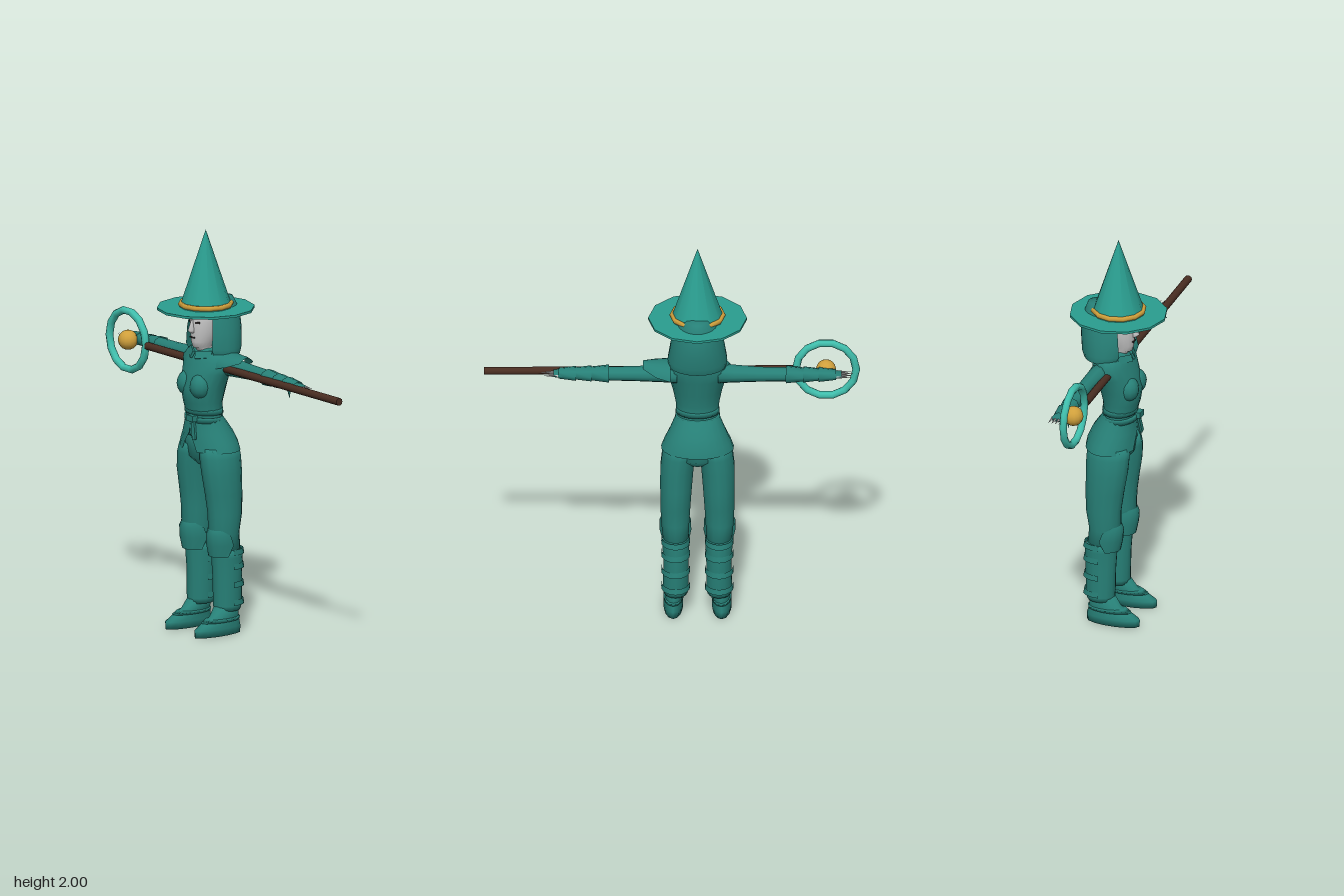
import * as THREE from 'three';
import { mergeVertices } from 'three/addons/utils/BufferGeometryUtils.js';

const mat = (name, color, side = THREE.FrontSide) => {
  const m = new THREE.MeshStandardMaterial({ color, side });
  m.name = name;
  return m;
};

// Smooth skin over elliptical rings [y, xc, zc, rx, rz, halfArc], listed bottom up.
// mid is the direction of the arc's middle: 0 = front, PI = back.
function loft(rings, { n = 14, mid = 0, cap = true } = {}) {
  const rows = rings.slice();
  if (cap) {
    const flat = (r) => [r[0], r[1], r[2], 0, 0];
    rows.unshift(flat(rings[0]));
    rows.push(flat(rings[rings.length - 1]));
  }
  const pos = [], idx = [];
  for (const [y, xc, zc, rx, rz, half = Math.PI] of rows)
    for (let j = 0; j <= n; j++) {
      const a = mid + half * ((2 * j) / n - 1);
      pos.push(xc + rx * Math.sin(a), y, zc + rz * Math.cos(a));
    }
  for (let i = 0; i < rows.length - 1; i++)
    for (let j = 0; j < n; j++) {
      const a = i * (n + 1) + j, b = a + n + 1;
      idx.push(a, a + 1, b + 1, a, b + 1, b);
    }
  let g = new THREE.BufferGeometry();
  g.setAttribute('position', new THREE.Float32BufferAttribute(pos, 3));
  g.setIndex(idx);
  g = mergeVertices(g, 1e-5);
  g.computeVertexNormals();
  return g;
}

export function createModel() {
  const cloth = mat('teal cloth', 0x278077, THREE.DoubleSide);
  const hatTeal = mat('hat teal', 0x2a9d8f);
  const ringTeal = mat('bright teal', 0x40bfad);
  const gold = mat('gold', 0xd0a03c);
  const wood = mat('dark wood', 0x4a2e22);
  const skin = mat('pale grey skin', 0xc4c4c4);
  const ink = mat('dark features', 0x2a2626);

  const model = new THREE.Group();
  const body = new THREE.Group();
  body.name = 'figure';
  body.position.x = -0.125;
  model.add(body);
  const add = (parent, name, geo, material, x = 0, y = 0, z = 0) => {
    const m = new THREE.Mesh(geo, material);
    m.name = name;
    m.position.set(x, y, z);
    parent.add(m);
    return m;
  };

  // Hat
  add(body, 'hatCone', new THREE.ConeGeometry(0.131, 0.39, 12), hatTeal, 0, 1.805, 0);
  add(body, 'hatBrim', new THREE.CylinderGeometry(0.24, 0.24, 0.012, 12), hatTeal, 0, 1.61, 0);
  add(body, 'hatBand', new THREE.TorusGeometry(0.124, 0.013, 6, 12), gold, 0, 1.631, 0).rotation.x = Math.PI / 2;

  // Hood, open at the front
  add(body, 'hood', loft([
    [1.385, 0, -0.055, 0.14, 0.112, 2.35],
    [1.42, 0, -0.05, 0.146, 0.13, 2.35],
    [1.5, 0, -0.05, 0.132, 0.137, 2.25],
    [1.57, 0, -0.05, 0.115, 0.134, 2.2],
    [1.62, 0, -0.05, 0.097, 0.118, 2.2],
    [1.655, 0, -0.075, 0.055, 0.08, 2.6],
    [1.665, 0, -0.085, 0, 0, 2.6],
  ], { n: 16, mid: Math.PI, cap: false }), cloth);

  // Head and face
  add(body, 'head', loft([
    [1.36, 0, -0.02, 0.045, 0.045],
    [1.415, 0, 0, 0.04, 0.055],
    [1.42, 0, 0.022, 0.034, 0.05],
    [1.45, 0, 0.012, 0.05, 0.068],
    [1.5, 0, 0.004, 0.061, 0.08],
    [1.55, 0, 0, 0.065, 0.084],
    [1.61, 0, -0.005, 0.062, 0.078],
  ], { n: 18 }), skin);
  add(body, 'nose', loft([
    [1.495, 0, 0.08, 0.013, 0.014],
    [1.51, 0, 0.082, 0.013, 0.028],
    [1.56, 0, 0.078, 0.006, 0.01],
  ], { n: 8 }), skin);
  add(body, 'mouth', new THREE.BoxGeometry(0.034, 0.006, 0.008), ink, 0, 1.472, 0.081);
  for (const s of [-1, 1]) {
    const eye = add(body, 'eye', new THREE.BoxGeometry(0.024, 0.009, 0.008), ink, s * 0.03, 1.548, 0.073);
    eye.rotation.y = s * 0.5;
    const brow = add(body, 'eyebrow', new THREE.BoxGeometry(0.032, 0.006, 0.008), ink, s * 0.031, 1.572, 0.07);
    brow.rotation.set(0, s * 0.5, s * 0.12);
  }

  // Torso
  add(body, 'tunic', loft([
    [0.98, 0, -0.01, 0.115, 0.095],
    [1.08, 0, 0.01, 0.102, 0.078],
    [1.15, 0, 0.018, 0.108, 0.09],
    [1.22, 0, 0.015, 0.122, 0.104],
    [1.3, 0, -0.004, 0.143, 0.1],
    [1.355, 0, -0.022, 0.17, 0.095],
    [1.395, 0, -0.03, 0.138, 0.085],
    [1.415, 0, -0.02, 0.065, 0.055],
  ], { n: 18 }), cloth);
  for (const s of [-1, 1]) {
    add(body, 'bust', new THREE.SphereGeometry(0.055, 12, 8), cloth, s * 0.052, 1.235, 0.072).scale.set(1, 1.15, 0.95);
    // Collar flaps meeting under the chin
    const flap = add(body, 'collarFlap', new THREE.BoxGeometry(0.09, 0.035, 0.012), cloth, s * 0.05, 1.388, 0.05);
    flap.rotation.set(-0.5, s * 0.4, s * 0.35);
  }

  // Belt with a knot and hanging ends
  [1.065, 1.105].forEach((y, i) => add(body, 'beltStrap', loft([
    [y - 0.013, 0, 0.01, 0.111 - i * 0.003, 0.086],
    [y + 0.013, 0, 0.012, 0.109 - i * 0.003, 0.085],
  ], { n: 18 }), cloth));
  add(body, 'beltKnot', new THREE.BoxGeometry(0.05, 0.03, 0.03), cloth, 0.02, 1.075, 0.1);
  add(body, 'beltEnd', new THREE.BoxGeometry(0.025, 0.1, 0.01), cloth, 0.035, 1.02, 0.1).rotation.set(-0.1, 0, 0.25);

  // Flared tunic skirt with a split front
  add(body, 'skirt', loft([
    [0.91, 0, -0.025, 0.178, 0.13, 2.82],
    [0.95, 0, -0.022, 0.163, 0.125, 2.92],
    [1.0, 0, -0.013, 0.138, 0.112, 3.13],
    [1.045, 0, 0, 0.118, 0.094, Math.PI],
    [1.075, 0, 0.01, 0.105, 0.082, Math.PI],
  ], { n: 20, mid: Math.PI, cap: false }), cloth);
  add(body, 'hips', loft([
    [0.83, 0, -0.025, 0.05, 0.06],
    [0.87, 0, -0.025, 0.14, 0.1],
    [0.94, 0, -0.02, 0.148, 0.105],
    [1.0, 0, -0.015, 0.12, 0.095],
  ]), cloth);

  // Legs
  for (const s of [-1, 1]) {
    const leg = new THREE.Group();
    leg.name = s > 0 ? 'leftLeg' : 'rightLeg';
    body.add(leg);
    add(leg, 'trouserLeg', loft([
      [0.4, s * 0.105, -0.045, 0.062, 0.075],
      [0.5, s * 0.108, -0.028, 0.07, 0.08],
      [0.6, s * 0.107, -0.036, 0.075, 0.09],
      [0.7, s * 0.104, -0.03, 0.079, 0.098],
      [0.8, s * 0.1, -0.022, 0.083, 0.107],
      [0.88, s * 0.09, -0.02, 0.084, 0.11],
      [0.93, s * 0.08, -0.02, 0.08, 0.105],
    ]), cloth);
    add(leg, 'shinGuard', loft([
      [0.115, s * 0.106, -0.05, 0.058, 0.068],
      [0.14, s * 0.106, -0.052, 0.064, 0.074],
      [0.28, s * 0.104, -0.052, 0.062, 0.077],
      [0.38, s * 0.105, -0.05, 0.067, 0.082],
      [0.42, s * 0.105, -0.045, 0.066, 0.078],
    ]), cloth);
    add(leg, 'kneePad', loft([
      [0.39, s * 0.106, -0.035, 0.07, 0.085, 1.25],
      [0.45, s * 0.107, -0.03, 0.077, 0.093, 1.6],
      [0.5, s * 0.108, -0.025, 0.077, 0.09, 1.45],
      [0.525, s * 0.108, -0.025, 0.072, 0.078, 0.9],
    ], { n: 8, cap: false }), cloth);
    for (const y of [0.41, 0.34, 0.25, 0.16])
      add(leg, 'calfStrap', loft([
        [y - 0.016, s * 0.106, -0.052, 0.071, 0.088, 1.7],
        [y + 0.012, s * 0.106, -0.052, 0.068, 0.082, 1.7],
      ], { n: 8, mid: Math.PI, cap: false }), cloth);
    add(leg, 'boot', loft([
      [0, s * 0.118, 0.018, 0.047, 0.136],
      [0.035, s * 0.118, 0.018, 0.049, 0.138],
      [0.062, s * 0.117, 0, 0.046, 0.112],
      [0.09, s * 0.114, -0.025, 0.044, 0.082],
      [0.14, s * 0.108, -0.045, 0.05, 0.064],
    ]), cloth);
    add(leg, 'bootStrap', loft([
      [0.066, s * 0.117, 0, 0.049, 0.112],
      [0.082, s * 0.116, -0.015, 0.05, 0.1],
    ]), cloth);
  }

  // Arms, built along y and swung out sideways
  for (const s of [-1, 1]) {
    const arm = new THREE.Group();
    arm.name = s > 0 ? 'leftArm' : 'rightArm';
    arm.position.set(0, 1.333, -0.055);
    arm.rotation.z = -s * Math.PI / 2;
    body.add(arm);
    add(arm, 'sleeve', loft([
      [0.1, 0, 0.01, 0.05, 0.055],
      [0.18, 0, 0.005, 0.044, 0.045],
      [0.3, 0, 0, 0.037, 0.038],
      [0.46, 0, 0, 0.034, 0.036],
      [0.62, 0, 0, 0.023, 0.026],
    ], { n: 10 }), cloth);
    // Overlapping flared forearm cuffs
    for (const [y, r] of [[0.43, 0.043], [0.515, 0.038], [0.59, 0.035]])
      add(arm, 'cuff', loft([
        [y, 0, 0, r, r + 0.008],
        [y + 0.085, 0, 0, r - 0.01, r - 0.004],
      ], { n: 8, cap: false }), cloth);
    add(arm, 'palm', loft([
      [0.61, 0, 0, 0.018, 0.024],
      [0.66, 0, 0, 0.016, 0.034],
      [0.7, 0, 0, 0.012, 0.034],
    ], { n: 8 }), cloth);
    for (let i = 0; i < 4; i++)
      add(arm, 'finger', new THREE.ConeGeometry(0.008, 0.075, 5), skin, 0, 0.725 - Math.abs(i - 1.5) * 0.007, -0.027 + i * 0.018);
    const thumb = add(arm, 'thumb', new THREE.ConeGeometry(0.012, 0.065, 5), cloth, s * 0.03, 0.655, 0.04);
    thumb.rotation.set(0.6, 0, -s * 0.7);
  }

  // Single shoulder flap on the left
  const shoulder = add(body, 'shoulderFlap', loft([
    [0.13, 0, 0, 0.062, 0.09, 1.7],
    [0.2, 0, 0, 0.06, 0.08, 1.4],
    [0.265, 0, 0, 0.058, 0.05, 0.9],
  ], { n: 8, mid: -Math.PI / 2, cap: false }), cloth, 0, 1.34, -0.05);
  shoulder.rotation.z = -Math.PI / 2;

  // Staff with ring head and orb
  const staff = new THREE.Group();
  staff.name = 'staff';
  model.add(staff);
  const a = new THREE.Vector3(-0.59, 1.33, 0.005), b = new THREE.Vector3(0.914, 1.33, -0.03);
  const dir = b.clone().sub(a);
  const shaft = add(staff, 'shaft', new THREE.CylinderGeometry(0.019, 0.019, dir.length(), 10), wood);
  shaft.position.copy(a).add(b).multiplyScalar(0.5);
  shaft.quaternion.setFromUnitVectors(new THREE.Vector3(0, 1, 0), dir.normalize());
  add(staff, 'ring', new THREE.TorusGeometry(0.147, 0.019, 8, 14), ringTeal, -0.75, 1.33, 0.004);
  add(staff, 'orb', new THREE.SphereGeometry(0.049, 14, 10), gold, -0.75, 1.33, 0.002);
  return model;
}
